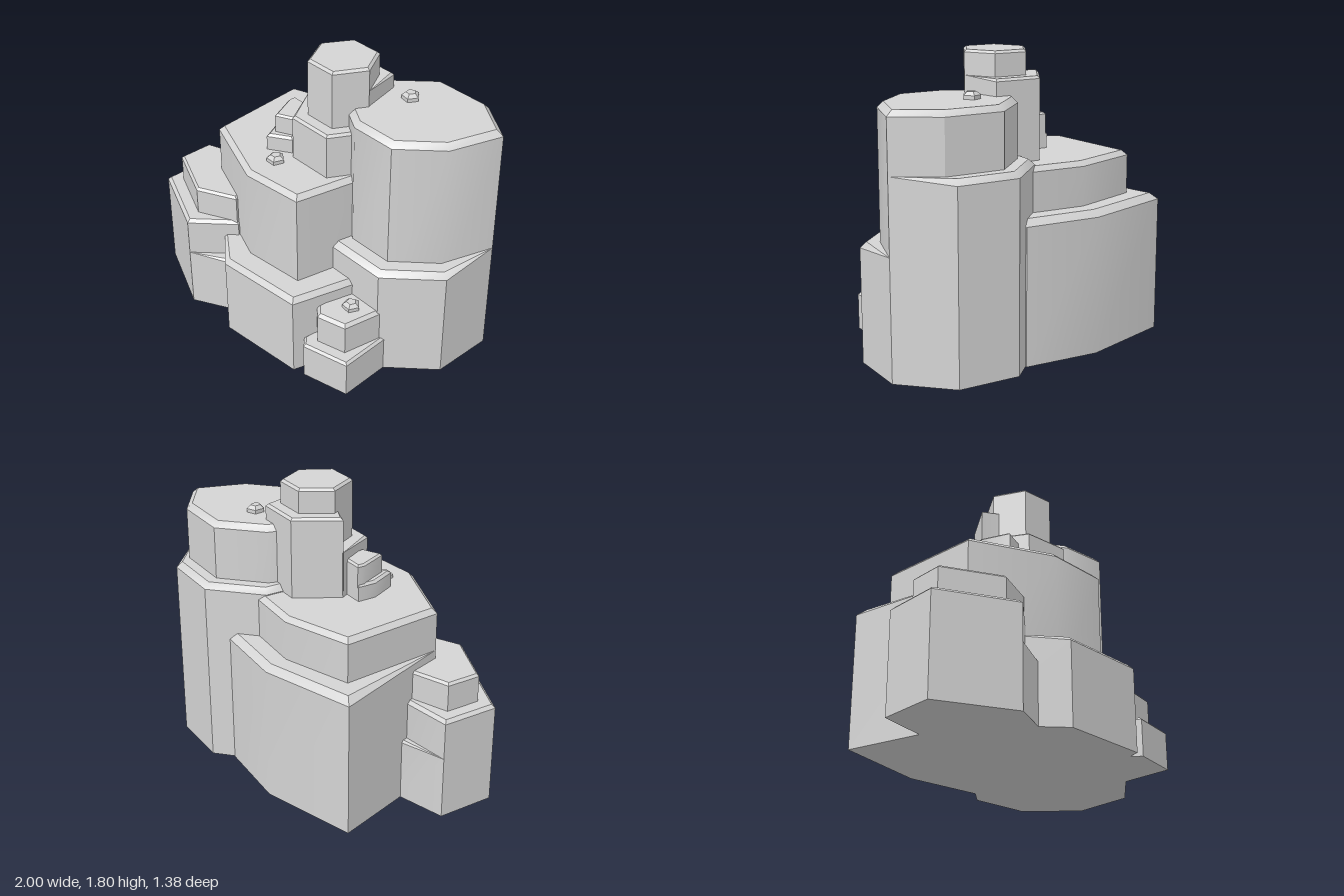
import * as THREE from 'three';
import { toCreasedNormals } from 'three/addons/utils/BufferGeometryUtils.js';

// Prism with a chamfered rim. Outline points are [x, z]; a third value of 1
// pins a corner so the chamfer tapers away to nothing there.
function rockGeometry(outline, base, top, bevel) {
  const pts = outline.map(([x, z, pin]) => ({ p: new THREE.Vector2(x, -z), pin }));
  if (THREE.ShapeUtils.area(pts.map(o => o.p)) < 0) pts.reverse();
  const n = pts.length;
  const low = [], rim = [], cap = [], flat = [];
  pts.forEach(({ p, pin }, i) => {
    const prev = pts[(i + n - 1) % n].p, next = pts[(i + 1) % n].p;
    const d1 = p.clone().sub(prev).normalize(), d2 = next.clone().sub(p).normalize();
    const n1 = new THREE.Vector2(-d1.y, d1.x), n2 = new THREE.Vector2(-d2.y, d2.x);
    const inset = pin ? 0 : bevel / (1 + n1.dot(n2));
    const q = p.clone().add(n1.add(n2).multiplyScalar(inset));
    low.push(new THREE.Vector3(p.x, base, -p.y));
    rim.push(new THREE.Vector3(p.x, pin ? top : top - bevel, -p.y));
    cap.push(new THREE.Vector3(q.x, top, -q.y));
    flat.push(q);
  });
  const pos = [];
  const tri = (a, b, c) => {
    const area = b.clone().sub(a).cross(c.clone().sub(a)).length();
    if (area > 1e-7) pos.push(...a, ...b, ...c);
  };
  for (let i = 0; i < n; i++) {
    const j = (i + 1) % n;
    for (const [d, u] of [[low, rim], [rim, cap]]) {
      tri(d[i], d[j], u[j]);
      tri(d[i], u[j], u[i]);
    }
  }
  for (const [a, b, c] of THREE.ShapeUtils.triangulateShape(flat, [])) tri(cap[a], cap[b], cap[c]);
  for (const [a, b, c] of THREE.ShapeUtils.triangulateShape(pts.map(o => o.p), [])) tri(low[c], low[b], low[a]);
  const g = new THREE.BufferGeometry();
  g.setAttribute('position', new THREE.Float32BufferAttribute(pos, 3));
  return toCreasedNormals(g, 0.55);
}

export function createModel() {
  const group = new THREE.Group();
  const stone = new THREE.MeshStandardMaterial({ color: 0xd4d4d4 });
  stone.name = 'pale stone grey';

  const rock = (name, base, top, bevel, outline) => {
    const mesh = new THREE.Mesh(rockGeometry(outline, base, top, bevel), stone);
    mesh.name = name;
    group.add(mesh);
  };

  // Tall column at the left rear with a front and a higher back ledge
  rock('tallColumnFrontLedge', 0, 0.735, 0.035, [
    [0.33, 0.245], [0.72, 0.245], [1, -0.03], [1, -0.42, 1], [0.5, -0.5, 1], [0.1, -0.35, 1], [0.06, -0.04]]);
  rock('tallColumnBackLedge', 0, 1.19, 0.035, [
    [0.06, -0.42], [0.33, -0.69], [0.72, -0.69], [1, -0.42, 1], [0.6, -0.2, 1], [0.2, -0.15, 1], [0.06, -0.25]]);
  rock('tallColumn', 0.5, 1.55, 0.035, [
    [0.38, 0.13], [0.675, 0.13], [0.9, -0.09], [1, -0.42], [0.74, -0.59],
    [0.37, -0.59], [0.14, -0.36], [0.08, -0.15], [0.26, 0.06]]);

  // Broad central mass with its front and back ledges
  rock('centralMassFrontLedge', 0, 0.545, 0.03, [
    [-0.62, 0.33, 1], [-0.16, 0.685], [0.405, 0.63], [0.51, 0.22], [0.35, 0, 1], [-0.5, 0, 1]]);
  rock('centralMassBackLedge', 0, 0.88, 0.04, [
    [-0.62, 0.33, 1], [-0.85, -0.42], [-0.26, -0.61], [0.22, -0.59], [0.4, -0.3, 1], [0.1, 0.2, 1]]);
  rock('centralMass', 0.3, 1.15, 0.03, [
    [-0.68, -0.32], [-0.62, 0.335], [-0.11, 0.525], [0.285, 0.485], [0.365, 0.08], [0.4, -0.44], [-0.25, -0.47]]);

  // Stepped rock at the right front
  rock('rightRockFoot', 0, 0.395, 0.015, [
    [-1, 0.135, 1], [-1, 0.495, 1], [-0.525, 0.69, 1], [-0.305, 0.57], [-0.25, 0.3], [-0.4, 0.1], [-0.67, 0.035]]);
  rock('rightRock', 0, 0.645, 0.02, [
    [-1, 0.135], [-1, 0.495], [-0.525, 0.69], [-0.3, 0.465], [-0.4, 0.15, 1], [-0.66, 0.085]]);
  rock('rightRockTop', 0.4, 0.825, 0.015, [
    [-0.91, 0.215], [-0.91, 0.435], [-0.55, 0.585], [-0.31, 0.465], [-0.4, 0.2], [-0.66, 0.12]]);

  // Six-sided spire and its two shoulders
  rock('spireFrontShoulder', 0.9, 1.435, 0.015, [
    [-0.2, -0.05, 1], [-0.045, 0.225], [0.25, 0.225], [0.335, 0.07], [0.31, -0.05, 1], [0.1, -0.2, 1]]);
  rock('spireBackShoulder', 0.8, 1.65, 0.015, [
    [-0.2, -0.045], [-0.045, -0.305], [0.25, -0.305], [0.31, -0.045, 1], [0.1, 0.1, 1], [-0.08, -0.01, 1]]);
  rock('spire', 1.2, 1.8, 0.015, [
    [-0.105, -0.045], [0, -0.225], [0.21, -0.225], [0.313, -0.045], [0.21, 0.145], [0, 0.145]]);

  // Small stepped stone beside the spire
  rock('smallStone', 1.1, 1.255, 0.015, [
    [-0.295, 0], [-0.295, 0.12], [-0.215, 0.285], [-0.08, 0.2], [-0.1, 0.02]]);
  rock('smallStoneTop', 1.1, 1.375, 0.012, [
    [-0.285, 0], [-0.285, 0.05], [-0.205, 0.225], [-0.08, 0.165], [-0.12, 0]]);

  // Low stepped rock at the left front
  rock('lowRock', 0, 0.24, 0.015, [
    [0.42, 0.555], [0.475, 0.61], [0.77, 0.535], [0.75, 0.18], [0.45, 0.18]]);
  rock('lowRockTop', 0.1, 0.445, 0.02, [
    [0.435, 0.465], [0.505, 0.525], [0.69, 0.475], [0.74, 0.18], [0.46, 0.18]]);

  // Five-sided pebbles resting on the ledges
  for (const [x, y, z, turn] of [[0.405, 1.55, -0.29, 0.2], [-0.085, 1.15, 0.325, 0], [0.588, 0.445, 0.33, 0.1]]) {
    const ring = Array.from({ length: 5 }, (_, i) => {
      const a = turn + (i * Math.PI * 2) / 5;
      return [x + 0.055 * Math.sin(a), z - 0.055 * Math.cos(a)];
    });
    rock('pebble', y - 0.02, y + 0.043, 0.02, ring);
  }
  return group;
}
